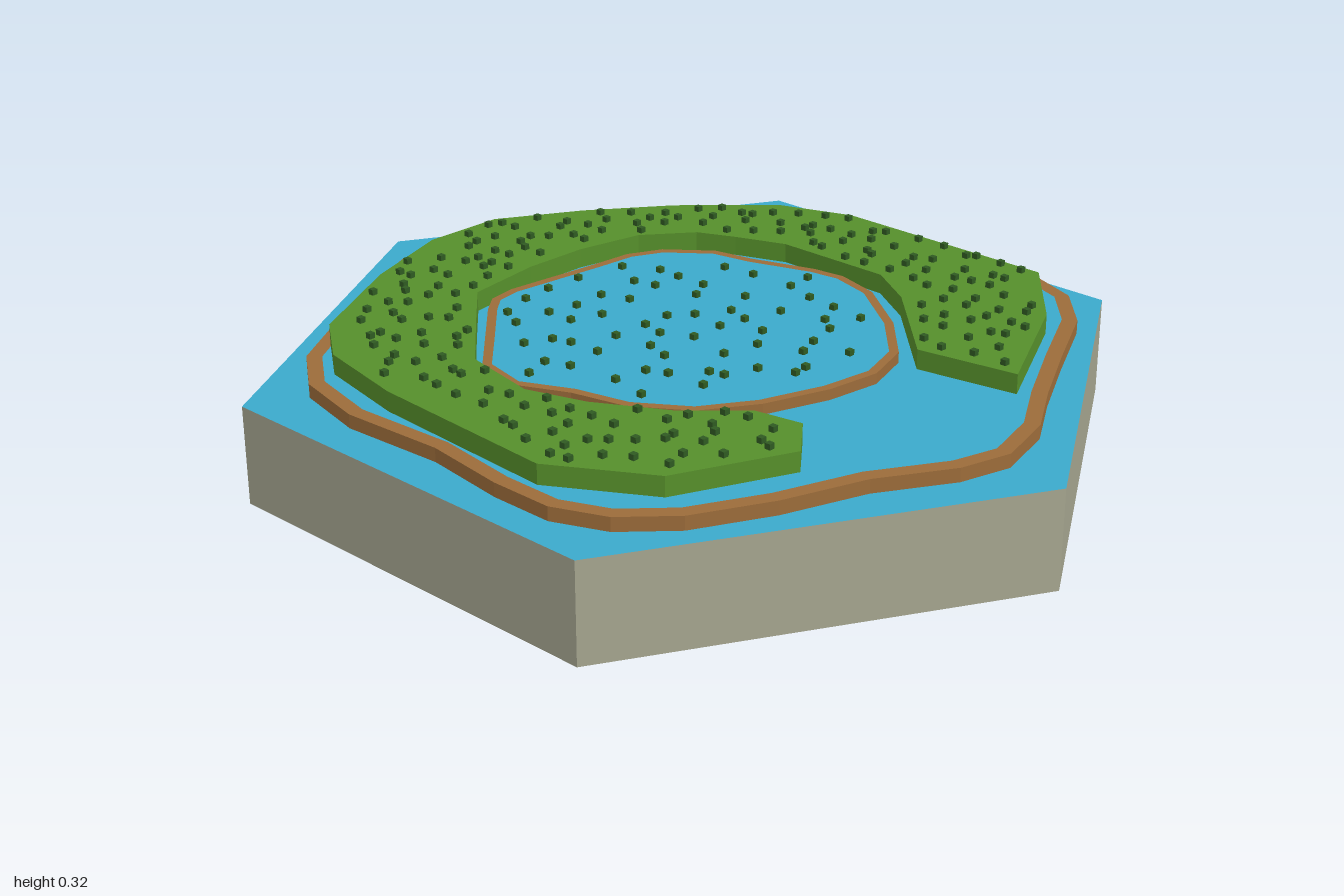
import * as THREE from 'three';
import { mergeGeometries } from 'three/addons/utils/BufferGeometryUtils.js';

// Outlines seen from above, as x, z pairs
const SHORE = [0, -.85, .12, -.84, .28, -.77, .42, -.68, .58, -.56, .7, -.45, .79, -.32, .81, -.18, .79, .03,
  .815, .25, .815, .35, .77, .47, .66, .57, .47, .66, .29, .75, .15, .83, 0, .865, -.12, .83, -.28, .73,
  -.47, .66, -.64, .57, -.74, .47, -.79, .35, -.79, .2, -.765, 0, -.78, -.25, -.74, -.43, -.65, -.55,
  -.47, -.66, -.3, -.76, -.12, -.84];
const LAKE = [-.12, -.46, 0, -.445, .12, -.43, .22, -.42, .3, -.38, .38, -.28, .4, -.18, .45, -.03, .46, .05,
  .43, .16, .32, .31, .2, .42, .08, .455, -.05, .435, -.2, .38, -.32, .3, -.4, .18, -.43, .05, -.485, -.07,
  -.46, -.19, -.36, -.29, -.24, -.41, -.19, -.45];
const FOREST = [-.25, .53, -.35, .61, -.61, .49, -.74, .27, -.715, -.2, -.67, -.43, -.57, -.565, -.3, -.71,
  -.07, -.79, .13, -.785, .32, -.67, .5, -.53, .68, -.34, .745, -.16, .745, .4, .55, .56, .24, .705, .2, .47,
  .3, .37, .41, .26, .485, .14, .485, -.15, .44, -.27, .4, -.36, .29, -.45, .13, -.485, -.03, -.49,
  -.22, -.465, -.33, -.35, -.48, -.19, -.515, 0, -.47, .14, -.38, .3, -.27, .42];

const BASE_TOP = 0.23, SHORE_TOP = 0.262, LAKE_TOP = 0.287, FOREST_TOP = 0.308;

const mat = (color) => new THREE.MeshStandardMaterial({ color, flatShading: true });
const stone = mat(0xa6a690), water = mat(0x3ba9cb), earth = mat(0x9c6c3a);
const grass = mat(0x568f2b), leaf = mat(0x2f5a22);

// Pairs to shape points (z flips because the shape is laid flat later)
function toPoints(flat) {
  const pts = [];
  for (let i = 0; i < flat.length; i += 2) pts.push(new THREE.Vector2(flat[i], -flat[i + 1]));
  return pts;
}

// Move every point of a clockwise outline inwards
function inset(pts, d) {
  return pts.map((p, i) => {
    const a = pts[(i + pts.length - 1) % pts.length], b = pts[(i + 1) % pts.length];
    const t = b.clone().sub(a).normalize();
    return new THREE.Vector2(p.x + t.y * d, p.y - t.x * d);
  });
}

function part(name, geometry, material, y) {
  const mesh = new THREE.Mesh(geometry.rotateX(-Math.PI / 2).translate(0, y, 0), material);
  mesh.name = name;
  return mesh;
}

const slab = (name, shape, material, y0, y1) =>
  part(name, new THREE.ExtrudeGeometry(shape, { depth: y1 - y0, bevelEnabled: false }), material, y0);

// A terrace: an earth rim with water level with its top
function terrace(name, pts, width, y0, y1) {
  const group = new THREE.Group();
  group.name = name;
  const inner = inset(pts, width);
  const rim = new THREE.Shape(pts);
  rim.holes.push(new THREE.Path(inner));
  group.add(slab(name + 'Rim', rim, earth, y0, y1));
  group.add(part(name + 'Water', new THREE.ShapeGeometry(new THREE.Shape(inner)), water, y1));
  return group;
}

function inside(pts, x, y) {
  let hit = false;
  for (let i = 0, j = pts.length - 1; i < pts.length; j = i++) {
    const a = pts[i], b = pts[j];
    if ((a.y > y) !== (b.y > y) && x < (b.x - a.x) * (y - a.y) / (b.y - a.y) + a.x) hit = !hit;
  }
  return hit;
}

// Small blocks scattered on a jittered grid within an outline
function scatter(name, pts, step, y, seed) {
  let s = seed;
  const rand = () => (s = (s * 16807) % 2147483647) / 2147483647;
  const size = 0.014, height = 0.013, blocks = [];
  for (let gx = -0.9; gx < 0.9; gx += step) {
    for (let gy = -0.9; gy < 0.9; gy += step) {
      const px = gx + (rand() - 0.5) * step * 0.75, py = gy + (rand() - 0.5) * step * 0.75;
      const fits = [[-1, 0], [1, 0], [0, -1], [0, 1]].every(([i, j]) => inside(pts, px + i * 0.02, py + j * 0.02));
      if (fits) blocks.push(new THREE.BoxGeometry(size, height, size).translate(px, y + height / 2, -py));
    }
  }
  const mesh = new THREE.Mesh(mergeGeometries(blocks), leaf);
  mesh.name = name;
  return mesh;
}

export function createModel() {
  const model = new THREE.Group();
  model.name = 'islandTile';

  // Hexagonal stone base with a water surface
  const base = new THREE.Mesh(new THREE.CylinderGeometry(1, 1, BASE_TOP, 6), [stone, water, stone]);
  base.position.y = BASE_TOP / 2;
  base.name = 'hexBase';
  model.add(base);

  // Outer shore and raised inner lake
  const shore = toPoints(SHORE), lake = toPoints(LAKE), forest = toPoints(FOREST);
  model.add(terrace('shore', shore, 0.035, BASE_TOP, SHORE_TOP));
  model.add(terrace('lake', lake, 0.021, SHORE_TOP, LAKE_TOP));

  // Horseshoe of raised grass
  model.add(slab('forestGround', new THREE.Shape(forest), grass, SHORE_TOP, FOREST_TOP));

  // Little plants on the grass and in the lake
  model.add(scatter('forestPlants', forest, 0.064, FOREST_TOP, 1234));
  model.add(scatter('lakePlants', inset(lake, 0.03), 0.092, LAKE_TOP, 77));
  return model;
}
